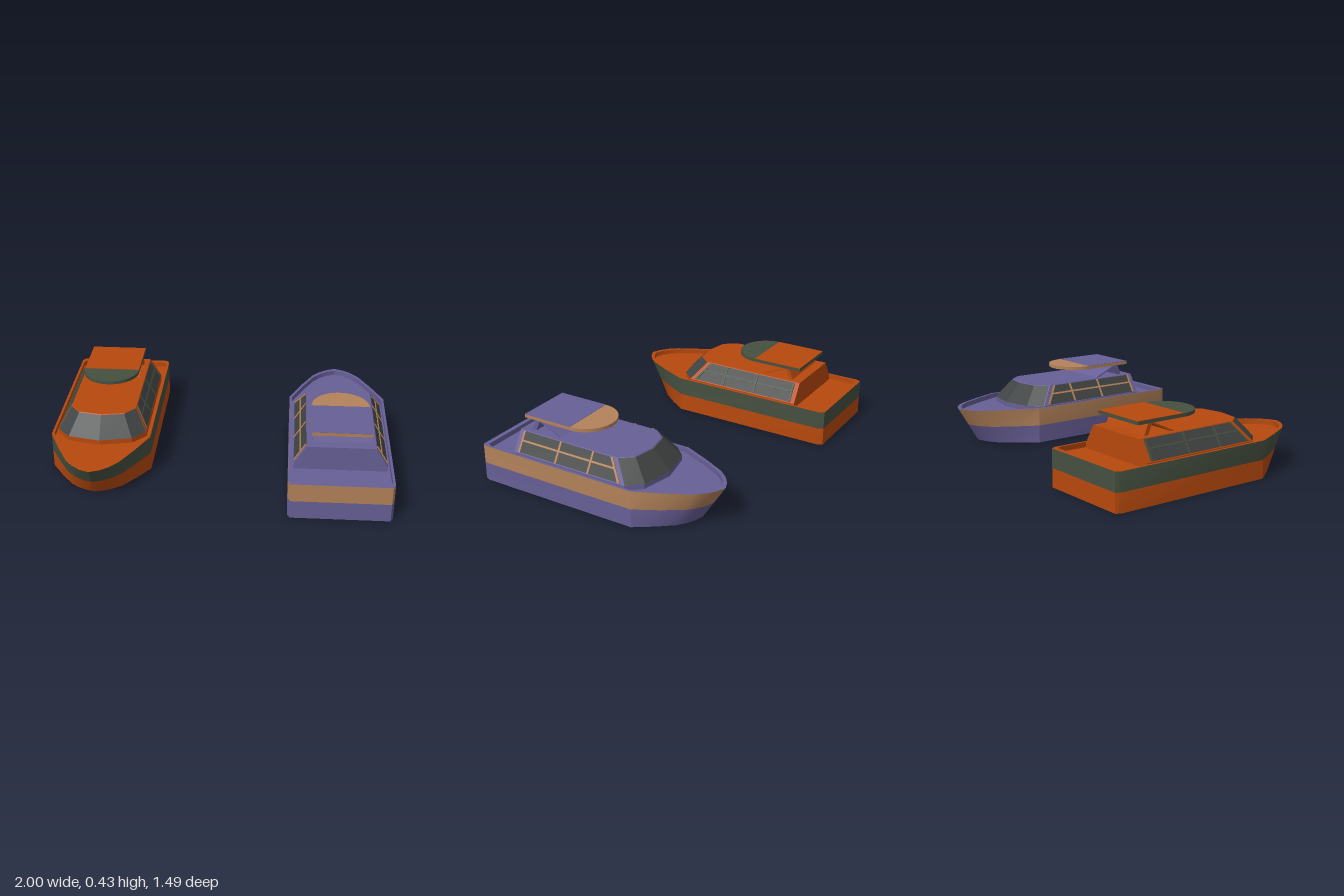
import * as THREE from 'three';
import { toCreasedNormals } from 'three/addons/utils/BufferGeometryUtils.js';

const mirror = half => [...half, ...half.filter(p => p[0] > 0).reverse().map(([x, z]) => [-x, z])];

// Skin through rings of [x, y, z]; rings run from outside-bottom to inside-top
function loft(rings, closed = true, crease = 0.5) {
  const n = rings[0].length, index = [];
  for (let r = 0; r + 1 < rings.length; r++) {
    for (let i = 0; i < (closed ? n : n - 1); i++) {
      const a = r * n + i, b = r * n + (i + 1) % n;
      index.push(a, a + n, b, b, a + n, b + n);
    }
  }
  const g = new THREE.BufferGeometry();
  g.setAttribute('position', new THREE.Float32BufferAttribute(rings.flat(2), 3));
  g.setIndex(index);
  g.computeVertexNormals();
  return toCreasedNormals(g, crease);
}

const plate = (points, depth) => new THREE.ExtrudeGeometry(
  new THREE.Shape(points.map(p => new THREE.Vector2(...p))), { depth, bevelEnabled: false });

// Half outlines [x, z], from stern to bow
const HULL = mirror([[0.28, -0.745], [0.295, -0.715], [0.295, 0.28], [0.222, 0.44],
  [0.15, 0.578], [0.105, 0.63], [0.055, 0.668], [0, 0.69]]);
const CABIN_BASE = mirror([[0.265, -0.53], [0.265, 0.22], [0.19, 0.3], [0, 0.34]]);
const CABIN_ROOF = mirror([[0.195, -0.53], [0.195, 0.13], [0.135, 0.205], [0, 0.23]]);
const H = 0.22, ROOF = 0.335;

// The bow rakes forward with height
const hullRing = (y, k = 1, kz = 1, rake = y) => HULL.map(([x, z]) => [x * k,
  y, kz * (z > 0.28 ? 0.28 + (z - 0.28) * (0.66 + 0.34 * rake / H) : z)]);
const flatRing = (outline, y, k = 1) => outline.map(([x, z]) => [x * k, y, z * k]);

function createBoat(main, trim) {
  const boat = new THREE.Group();
  const mat = color => new THREE.MeshStandardMaterial({ color });
  const mainMat = mat(main), trimMat = mat(trim), glassMat = mat(0x404343);
  const add = (name, geometry, material, parent = boat) => {
    const mesh = new THREE.Mesh(geometry, material);
    mesh.name = name;
    parent.add(mesh);
    return mesh;
  };

  // Hull in two colour bands, then rim and sunken deck
  const mid = H / 2;
  add('lowerHull', loft([hullRing(0, 0, 0), hullRing(0), hullRing(mid)]), mainMat);
  add('upperHull', loft([hullRing(mid), hullRing(H)]), trimMat);
  add('deck', loft([hullRing(H), hullRing(H, 0.95, 0.962),
    hullRing(H - 0.03, 0.95, 0.962, H), hullRing(H - 0.03, 0, 0)]), mainMat);

  // Cabin with flat roof and wrap-around windscreen
  add('cabin', loft([flatRing(CABIN_BASE, 0.185), flatRing(CABIN_BASE, H),
    flatRing(CABIN_ROOF, ROOF), flatRing(CABIN_ROOF, ROOF, 0)], true, 0.1), mainMat);
  const screenRow = t => CABIN_BASE.slice(1, 6).map(([x, z], i) => {
    const [rx, rz] = CABIN_ROOF[i + 1];
    return [(x + (rx - x) * t) * 0.995, H + (ROOF - H) * t, z + (rz - z) * t + 0.005];
  });
  add('windscreen', loft([screenRow(0.01), screenRow(0.98)], false, 0.1), glassMat);

  // Side windows laid on the sloping cabin walls; u runs forward, v up the slope
  const front = v => 0.195 - 0.67 * v;
  const bar = (u, w) => [[u - w, 0.006], [u + w, 0.006], [u + w, 0.129], [u - w, 0.129]];
  const bars = [bar(-0.495, 0.006), bar(-0.24, 0.006), bar(-0.02, 0.006),
    [[-0.5, 0.069], [front(0.069), 0.069], [front(0.08), 0.08], [-0.5, 0.08]],
    [[front(0.006) - 0.015, 0.006], [front(0.006), 0.006],
      [front(0.129), 0.129], [front(0.129) - 0.015, 0.129]]];
  for (const s of [1, -1]) {
    const up = new THREE.Vector3(-0.07 * s, ROOF - H, 0).normalize();
    const out = new THREE.Vector3(s * up.y, Math.abs(up.x), 0);
    const windows = new THREE.Group();
    windows.name = s > 0 ? 'leftWindows' : 'rightWindows';
    windows.quaternion.setFromRotationMatrix(
      new THREE.Matrix4().makeBasis(up.clone().cross(out), up, out));
    windows.position.set(0.265 * s, H, 0);
    const place = points => points.map(([u, v]) => [-s * u, v]);
    add('glass', plate(place([[-0.5, 0.006], [front(0.006), 0.006],
      [front(0.129), 0.129], [-0.5, 0.129]]), 0.002), glassMat, windows);
    for (const b of bars) add('windowBar', plate(place(b), 0.006), trimMat, windows);
    boat.add(windows);
  }

  // Canopy supports, profiles in (z, y) extruded across the boat
  const profiles = [
    [[-0.47, 0.33], [-0.445, 0.33], [-0.412, 0.402], [-0.44, 0.402]],
    [[-0.28, 0.332], [-0.257, 0.332], [-0.41, 0.402], [-0.43, 0.402]]];
  for (const p of profiles) {
    const support = add('canopySupport', plate(p, 0.33), mainMat);
    support.rotation.y = -Math.PI / 2;
    support.position.x = 0.165;
  }

  // Canopy with a half-round front and a painted square rear
  const shape = new THREE.Shape();
  shape.moveTo(-0.17, -0.515).lineTo(0.17, -0.515).lineTo(0.17, -0.2);
  shape.absarc(0, -0.2, 0.17, 0, Math.PI, false);
  const canopy = add('canopy', toCreasedNormals(new THREE.ExtrudeGeometry(shape,
    { depth: 0.02, bevelEnabled: false, curveSegments: 24 }), 0.5), trimMat);
  canopy.rotation.x = Math.PI / 2;
  canopy.position.y = 0.42;
  add('canopyPanel', new THREE.BoxGeometry(0.34, 0.002, 0.315), mainMat)
    .position.set(0, 0.4205, -0.3575);
  return boat;
}

export function createModel() {
  const model = new THREE.Group();
  const orangeBoat = createBoat(0xb8490d, 0x465040);
  orangeBoat.name = 'orangeBoat';
  orangeBoat.position.x = -0.705;
  const purpleBoat = createBoat(0x675f96, 0xb3825a);
  purpleBoat.name = 'purpleBoat';
  purpleBoat.position.set(0.705, 0.004, 0);
  purpleBoat.rotation.y = Math.PI;
  model.add(orangeBoat, purpleBoat);
  return model;
}
